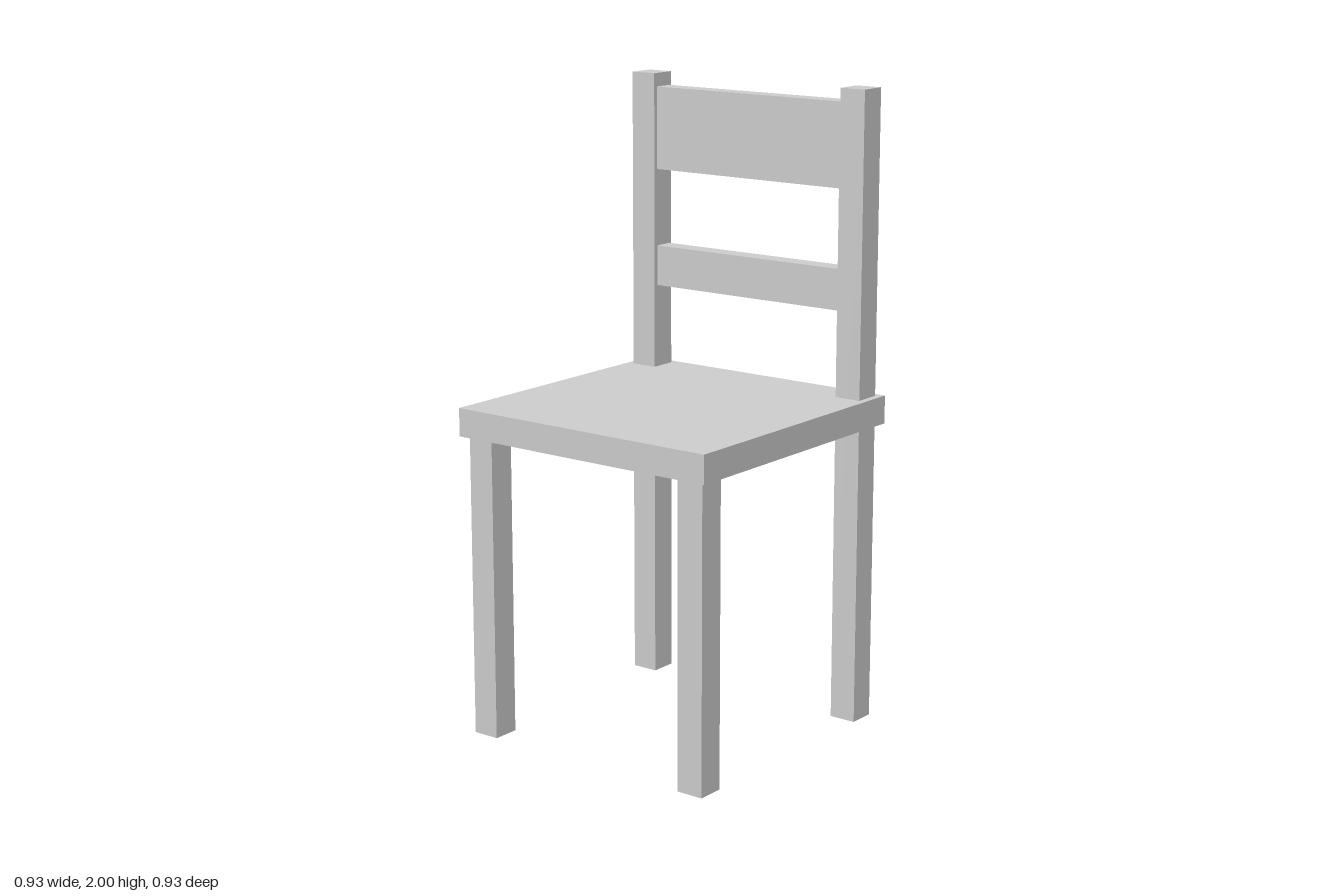
import * as THREE from 'three';

const material = new THREE.MeshStandardMaterial({ color: 0xcccccc, flatShading: true });

// Box spanning y0..y1, centred on x and z
function addBox(parent, name, width, depth, y0, y1, x, z) {
  const mesh = new THREE.Mesh(new THREE.BoxGeometry(width, y1 - y0, depth), material);
  mesh.name = name;
  mesh.position.set(x, (y0 + y1) / 2, z);
  parent.add(mesh);
}

export function createModel() {
  const chair = new THREE.Group();
  chair.name = 'chair';

  const seatBottom = 0.957, seatTop = 1.046, seatSize = 0.932;
  const legSize = 0.088, legOffset = 0.4;

  addBox(chair, 'seat', seatSize, seatSize, seatBottom, seatTop, 0, 0);

  // Short front legs; back legs run on through the seat as back posts
  for (const [side, x] of [['left', legOffset], ['right', -legOffset]]) {
    addBox(chair, `${side}FrontLeg`, legSize, legSize, 0, seatBottom, x, legOffset);
    addBox(chair, `${side}BackPost`, legSize, legSize, 0, 2, x, -legOffset);
  }

  // Backrest rails between the posts
  const railWidth = 2 * legOffset - legSize, railDepth = 0.065;
  addBox(chair, 'lowerBackRail', railWidth, railDepth, 1.315, 1.445, 0, -0.403);
  addBox(chair, 'upperBackRail', railWidth, railDepth, 1.693, 1.957, 0, -0.403);

  return chair;
}
